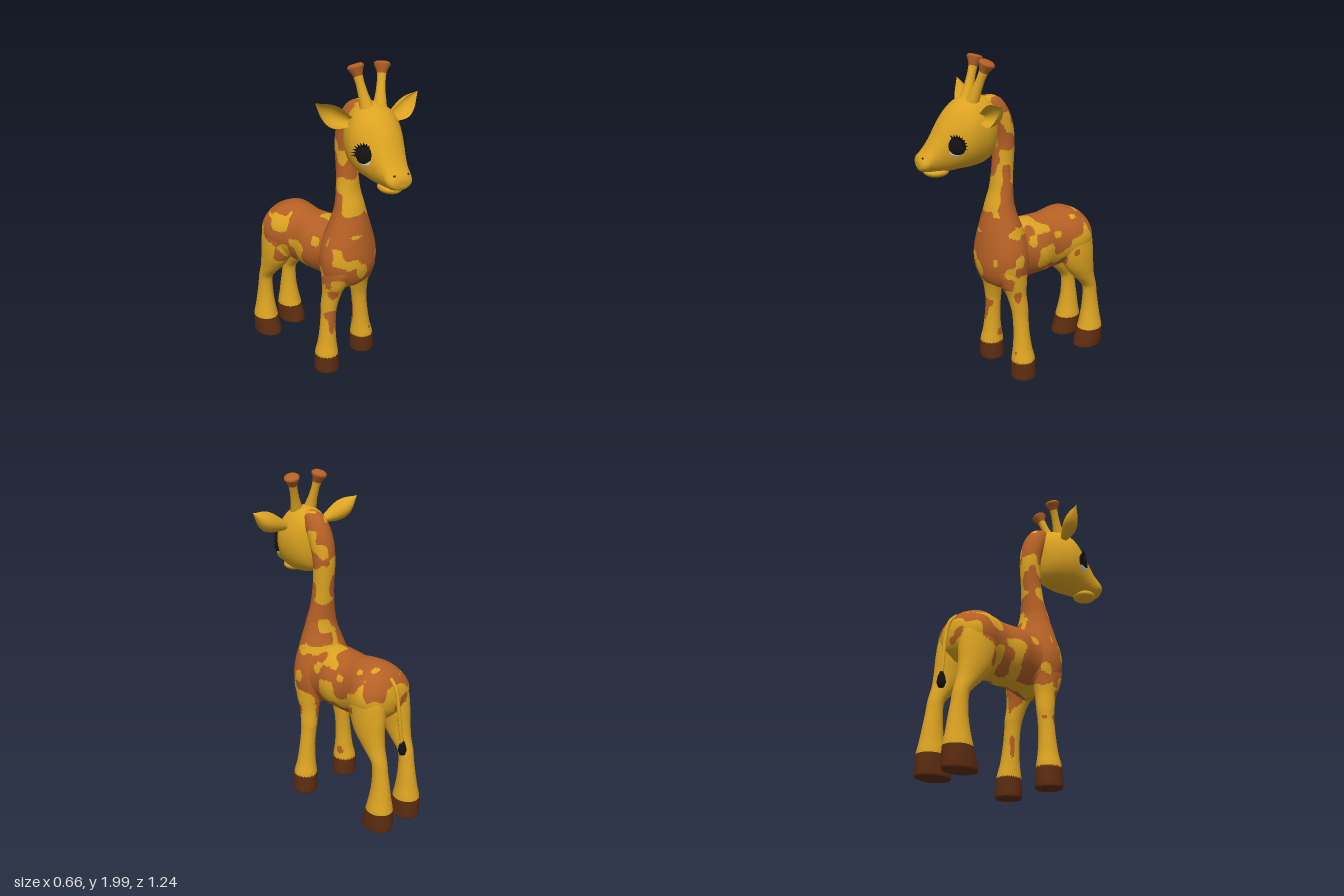
import * as THREE from 'three';

const mat = (name, color, side = THREE.FrontSide) =>
  Object.assign(new THREE.MeshStandardMaterial({ color, side }), { name });

// Seeded smooth value noise for the coat pattern
const hash = (x, y, z) => {
  const h = Math.sin(x * 127.1 + y * 311.7 + z * 74.7) * 43758.5453;
  return h - Math.floor(h);
};
function noise(x, y, z) {
  const X = Math.floor(x), Y = Math.floor(y), Z = Math.floor(z);
  const f = (t) => t * t * (3 - 2 * t);
  const u = f(x - X), v = f(y - Y), w = f(z - Z);
  let sum = 0;
  for (let i = 0; i < 2; i++) for (let j = 0; j < 2; j++) for (let k = 0; k < 2; k++)
    sum += hash(X + i, Y + j, Z + k) * (i ? u : 1 - u) * (j ? v : 1 - v) * (k ? w : 1 - w);
  return sum;
}
const clamp = THREE.MathUtils.clamp;

// 0 = yellow coat, 1 = brown patch, 2 = hoof
function coat({ x, y, z }) {
  if (y < 0.118) return 2;
  let bias = 0.08;
  if (y > 1.4) bias -= 0.06;
  else if (y < 1.05) {
    bias += clamp((y - 0.76) * 0.8, -0.2, 0.14);
    if (y < 0.92) bias -= clamp((-0.28 - z) * 1.5, 0, 0.22);
    if (z > 0.12 && y > 0.62) bias += 0.1;
  }
  if (y < 0.6) bias -= 0.1;
  if (y < 0.48) bias -= 0.12;
  const n = noise(x * 15 + 3.3, y * 13 + 1.7, z * 15 + 8.1);
  return n + bias > 0.5 ? 1 : 0;
}

// Skin elliptical sections [t, low, high, halfWidth, centreX].
// axis 'y': rings are horizontal, low/high are z. axis 'z': rings are upright, low/high are y.
function loft(sections, axis, rings, sides, paint) {
  const at = (i) => sections[clamp(i, 0, sections.length - 1)];
  const sample = (t) => {
    const i = Math.min(Math.floor(t), sections.length - 2), f = t - i;
    return [0, 1, 2, 3, 4].map((k) => {
      const [a, b, c, d] = [i - 1, i, i + 1, i + 2].map((n) => at(n)[k] || 0);
      return b + 0.5 * f * (c - a + f * (2 * a - 5 * b + 4 * c - d + f * (3 * (b - c) + d - a)));
    });
  };
  const pos = [], tris = [];
  const place = (x, t, o) => (axis === 'y' ? pos.push(x, t, o) : pos.push(x, o, t));
  const ring = ([t, lo, hi, w, cx]) => {
    const start = pos.length / 3;
    for (let j = 0; j < sides; j++) {
      const a = (j / sides) * Math.PI * 2;
      place(cx + w * Math.cos(a), t, (lo + hi) / 2 + ((hi - lo) / 2) * Math.sin(a));
    }
    return start;
  };
  for (let i = 0; i <= rings; i++) ring(sample((i / rings) * (sections.length - 1)));
  for (let i = 0; i < rings; i++) for (let j = 0; j < sides; j++) {
    const a = i * sides + j, b = i * sides + (j + 1) % sides;
    tris.push([a, a + sides, b], [b, a + sides, b + sides]);
  }
  // End caps
  for (const end of [0, 1]) {
    const s = sample(end * (sections.length - 1));
    const r = ring(s), c = pos.length / 3;
    place(s[4], s[0], (s[1] + s[2]) / 2);
    for (let j = 0; j < sides; j++) {
      const a = r + j, b = r + (j + 1) % sides;
      tris.push(end ? [c, b, a] : [c, a, b]);
    }
  }
  const geo = new THREE.BufferGeometry();
  geo.setAttribute('position', new THREE.Float32BufferAttribute(pos, 3));
  const buckets = [[], [], []];
  for (const t of tris) {
    const mid = [0, 1, 2].map((k) => (pos[t[0] * 3 + k] + pos[t[1] * 3 + k] + pos[t[2] * 3 + k]) / 3);
    buckets[paint ? paint({ x: mid[0], y: mid[1], z: mid[2] }) : 0].push(...t);
  }
  geo.setIndex(buckets.flat());
  let start = 0;
  buckets.forEach((b, i) => { if (b.length) geo.addGroup(start, b.length, i); start += b.length; });
  geo.computeVertexNormals();
  return geo;
}

export function createModel() {
  const yellow = mat('yellow coat', 0xdca321, THREE.DoubleSide);
  const brown = mat('brown patch', 0xb56025);
  const hoof = mat('dark hoof', 0x5c2c10);
  const black = mat('black', 0x121212);
  const white = mat('eye white', 0xe6e6e6);
  const skin = [yellow, brown, hoof];
  const model = new THREE.Group();
  model.name = 'giraffe';
  const add = (parent, name, geo, material) => {
    const m = new THREE.Mesh(geo, material);
    m.name = name;
    parent.add(m);
    return m;
  };

  // Torso, chest to rump
  add(model, 'torso', loft([
    [0.2, 0.66, 0.85, 0.1], [0.12, 0.61, 0.95, 0.165], [0, 0.6, 0.975, 0.165], [-0.1, 0.6, 0.97, 0.175],
    [-0.2, 0.6, 0.972, 0.158], [-0.28, 0.605, 0.985, 0.165], [-0.36, 0.62, 0.985, 0.185],
    [-0.42, 0.64, 0.965, 0.185], [-0.47, 0.67, 0.935, 0.165], [-0.51, 0.72, 0.88, 0.11], [-0.525, 0.78, 0.82, 0.03],
  ], 'z', 90, 96, coat), skin);

  // Chest and neck
  add(model, 'neck', loft([
    [0.575, 0.08, 0.16, 0.07], [0.61, 0.02, 0.225, 0.14], [0.66, -0.02, 0.258, 0.175], [0.73, -0.03, 0.275, 0.192],
    [0.8, -0.03, 0.275, 0.194], [0.87, -0.02, 0.267, 0.18], [0.95, 0, 0.255, 0.15], [1, 0.02, 0.245, 0.132],
    [1.06, 0.04, 0.23, 0.11], [1.12, 0.053, 0.215, 0.095], [1.2, 0.055, 0.19, 0.08], [1.3, 0.05, 0.178, 0.068],
    [1.4, 0.042, 0.17, 0.066], [1.5, 0.04, 0.17, 0.07], [1.6, 0.055, 0.2, 0.075], [1.68, 0.085, 0.24, 0.07],
    [1.74, 0.13, 0.26, 0.05], [1.765, 0.18, 0.25, 0.02],
  ], 'y', 150, 84, coat), skin);

  // Legs, written for the left side: y, back z, front z, half width, centre x
  const front = [
    [0, 0.015, 0.165, 0.073, 0.178], [0.02, 0.01, 0.17, 0.077, 0.178], [0.12, 0.015, 0.165, 0.071, 0.175],
    [0.2, 0.03, 0.15, 0.058, 0.167], [0.3, 0.04, 0.14, 0.05, 0.158], [0.4, 0.04, 0.14, 0.047, 0.147],
    [0.46, 0.037, 0.147, 0.05, 0.14], [0.55, 0.04, 0.17, 0.057, 0.125], [0.63, 0.03, 0.21, 0.07, 0.115],
    [0.72, 0.02, 0.24, 0.08, 0.1], [0.8, 0.06, 0.2, 0.04, 0.09],
  ];
  const rear = [
    [0, -0.61, -0.41, 0.076, 0.112], [0.02, -0.616, -0.406, 0.08, 0.112], [0.12, -0.612, -0.44, 0.077, 0.112],
    [0.2, -0.598, -0.458, 0.063, 0.11], [0.28, -0.586, -0.47, 0.052, 0.108], [0.36, -0.572, -0.474, 0.046, 0.108],
    [0.42, -0.563, -0.468, 0.046, 0.108], [0.46, -0.553, -0.44, 0.05, 0.108], [0.52, -0.537, -0.38, 0.06, 0.107],
    [0.6, -0.527, -0.315, 0.074, 0.106], [0.7, -0.522, -0.275, 0.086, 0.1], [0.8, -0.51, -0.27, 0.085, 0.095],
    [0.88, -0.48, -0.3, 0.06, 0.09], [0.93, -0.42, -0.36, 0.02, 0.085],
  ];
  for (const s of [1, -1]) {
    const side = s > 0 ? 'left' : 'right';
    // The right foreleg stands a little closer in
    const legX = front.map(([y, a, b, w, x]) => [y, a, b, w, s > 0 ? x : -x + 0.025 * Math.max(0, 1 - y / 0.7)]);
    add(model, side + 'FrontLeg', loft(legX, 'y', 84, 40, coat), skin);
    add(model, side + 'RearLeg', loft(rear.map(([y, a, b, w, x]) => [y, a, b, w, s * x]), 'y', 90, 40, coat), skin);
  }

  // Tail with a dark tuft
  const tailPath = new THREE.CatmullRomCurve3([[0, 0.92, -0.48], [0, 0.87, -0.525], [0, 0.76, -0.55],
    [-0.005, 0.64, -0.563], [-0.012, 0.53, -0.575]].map((p) => new THREE.Vector3(...p)));
  add(model, 'tail', new THREE.TubeGeometry(tailPath, 24, 0.011, 10), yellow);
  const tuft = add(model, 'tailTuft', new THREE.LatheGeometry(
    [[0, 0], [0.017, 0.004], [0.026, 0.03], [0.021, 0.06], [0.01, 0.09], [0, 0.095]].map((p) => new THREE.Vector2(...p)), 9), black);
  tuft.position.set(-0.014, 0.46, -0.577);

  // Head, turned and tipped slightly to one side
  const head = new THREE.Group();
  head.name = 'head';
  head.position.set(-0.035, 1.55, 0.33);
  head.rotation.set(0, -0.24, -0.06, 'ZYX');
  model.add(head);
  add(head, 'skull', loft([
    [0.298, -0.16, -0.125, 0.03], [0.288, -0.18, -0.1, 0.066], [0.26, -0.19, -0.07, 0.082], [0.23, -0.195, -0.025, 0.085],
    [0.2, -0.2, 0.03, 0.093], [0.16, -0.2, 0.105, 0.109], [0.11, -0.198, 0.17, 0.132], [0.06, -0.19, 0.208, 0.153],
    [0, -0.185, 0.228, 0.159], [-0.08, -0.168, 0.222, 0.137], [-0.14, -0.13, 0.185, 0.095], [-0.17, -0.05, 0.13, 0.04],
  ], 'z', 60, 48), yellow);
  const lip = add(head, 'lowerLip', new THREE.SphereGeometry(1, 24, 16), yellow);
  lip.scale.set(0.066, 0.032, 0.075);
  lip.position.set(0, -0.197, 0.185);

  const Z = new THREE.Vector3(0, 0, 1), Y = new THREE.Vector3(0, 1, 0);
  for (const s of [1, -1]) {
    const side = s > 0 ? 'left' : 'right';

    // Horn with flared cap
    const horn = new THREE.Group();
    horn.name = side + 'Horn';
    horn.position.set(s * 0.04, 0.185, -0.005);
    horn.quaternion.setFromUnitVectors(Y, new THREE.Vector3(s * 0.05, 0.24, -0.07).normalize());
    head.add(horn);
    const turn = (pts) => new THREE.LatheGeometry(pts.map((p) => new THREE.Vector2(...p)), 24);
    add(horn, 'hornShaft', turn([[0.042, 0], [0.036, 0.04], [0.028, 0.09], [0.024, 0.15], [0.026, 0.2]]), yellow);
    add(horn, 'hornCap', turn([[0.026, 0.195], [0.034, 0.218], [0.046, 0.24], [0.046, 0.25], [0.036, 0.258], [0, 0.261]]), brown);

    // Cupped leaf-shaped ear
    const ear = new THREE.PlaneGeometry(1, 2, 20, 14), p = ear.attributes.position;
    for (let i = 0; i < p.count; i++) {
      const u = p.getX(i) + 0.5, a = p.getY(i) * 1.45;
      const h = 0.02 * (1 - u) + 0.05 * Math.pow(Math.sin(Math.PI * Math.pow(u, 1.15)), 0.9 + 0.3 * u);
      const up = h * Math.sin(a) - 0.02 * Math.sin(Math.PI * u);
      p.setXYZ(i, s * (0.115 + 0.227 * u - 0.45 * up), 0.12 + 0.125 * u + 0.88 * up,
        -0.03 - 0.03 * u - h * 1.35 * (Math.cos(a) - 0.4));
    }
    ear.computeVertexNormals();
    add(head, side + 'Ear', ear, yellow);

    // Eye with lashes along the upper and outer rim
    const eye = new THREE.Group();
    eye.name = side + 'Eye';
    eye.position.set(s * 0.122, -0.02, 0.108);
    eye.quaternion.setFromUnitVectors(Z, new THREE.Vector3(s * 0.82, 0.05, 0.57).normalize());
    head.add(eye);
    const ball = new THREE.SphereGeometry(1, 28, 20);
    add(eye, 'pupil', ball, black).scale.set(0.052, 0.056, 0.028);
    const rim = add(eye, 'eyeWhite', ball, white);
    rim.scale.set(0.05, 0.05, 0.022);
    rim.position.set(-s * 0.004, -0.012, 0);
    for (let k = 0; k < 9; k++) {
      const a = -0.1 + k * 0.27;
      const dir = new THREE.Vector3(s * Math.cos(a), Math.sin(a), 0.7).normalize();
      const lash = add(eye, 'lash', new THREE.ConeGeometry(0.009, 0.036, 5), black);
      lash.position.set(s * 0.046 * Math.cos(a), 0.05 * Math.sin(a), 0.012).addScaledVector(dir, 0.012);
      lash.quaternion.setFromUnitVectors(Y, dir);
    }

    // Nostril
    const nostril = add(head, side + 'Nostril', ball, hoof);
    nostril.scale.set(0.009, 0.007, 0.006);
    nostril.position.set(s * 0.045, -0.1, 0.277);
  }
  return model;
}
